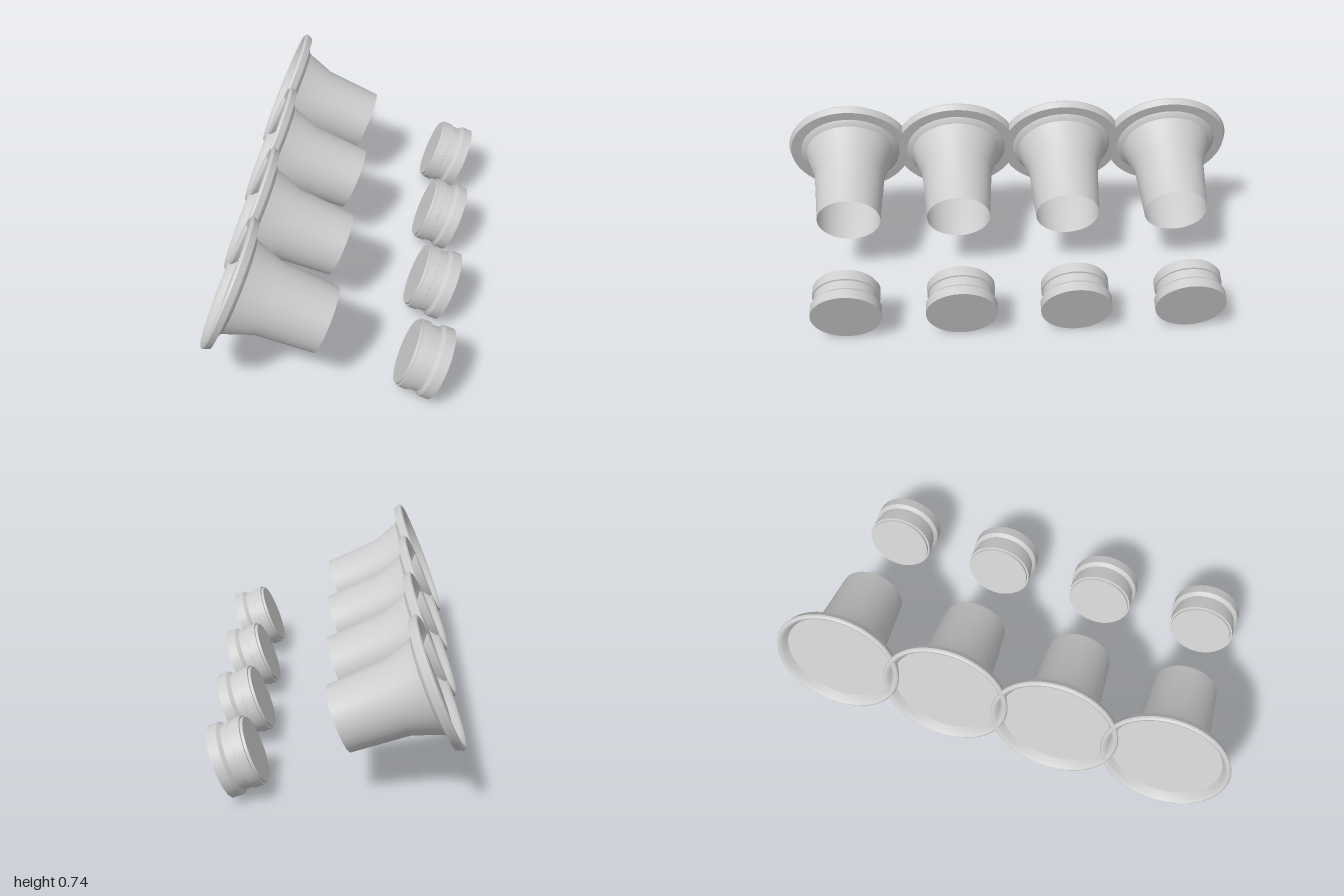
import * as THREE from 'three';
import { toCreasedNormals } from 'three/addons/utils/BufferGeometryUtils.js';

const TILT = THREE.MathUtils.degToRad(-112); // lathe axis points right and down
const SPACING = 0.482;

// Profiles are [radius, distance along the axis], measured from the small/right end.
const hornProfile = [
  [0.236, -0.393], [0.25, -0.415], [0.258, -0.424], [0.266, -0.427], [0.274, -0.422],
  [0.277, -0.415], [0.267, -0.389], [0.222, -0.388], [0.215, -0.38], [0.198, -0.37],
  [0.156, -0.248], [0.139, 0],
];
const plugProfile = [
  [0, -0.148], [0.134, -0.148], [0.135, -0.137], [0.143, -0.136], [0.143, -0.097],
  [0.136, -0.095], [0.136, -0.057], [0.15, -0.043], [0.15, 0], [0, 0],
];

function lathe(profile, crease) {
  const points = profile.map(([r, t]) => new THREE.Vector2(r, t));
  return toCreasedNormals(new THREE.LatheGeometry(points, 64), crease);
}

export function createModel() {
  const model = new THREE.Group();
  const grey = new THREE.MeshStandardMaterial({ color: 0xcccccc, side: THREE.DoubleSide });
  grey.name = 'light grey';

  const hornGeometry = lathe(hornProfile, 0.6);
  const plugGeometry = lathe(plugProfile, 0.5);
  const membraneGeometry = new THREE.CircleGeometry(0.236, 64).rotateX(Math.PI / 2).translate(0, -0.393, 0);

  const place = (name, geometry, x, y, z) => {
    const mesh = new THREE.Mesh(geometry, grey);
    mesh.name = name;
    mesh.position.set(x, y, z);
    mesh.rotation.z = TILT;
    model.add(mesh);
  };

  // Row of four horns, each with a recessed disc in its mouth and a separate plug
  for (let i = 0; i < 4; i++) {
    const z = (i - 1.5) * SPACING;
    place('horn' + (i + 1), hornGeometry, -0.0125, 0.3285, z);
    place('mouthDisc' + (i + 1), membraneGeometry, -0.0125, 0.3285, z);
    place('plug' + (i + 1), plugGeometry, 0.449, 0.1405, z);
  }
  return model;
}
